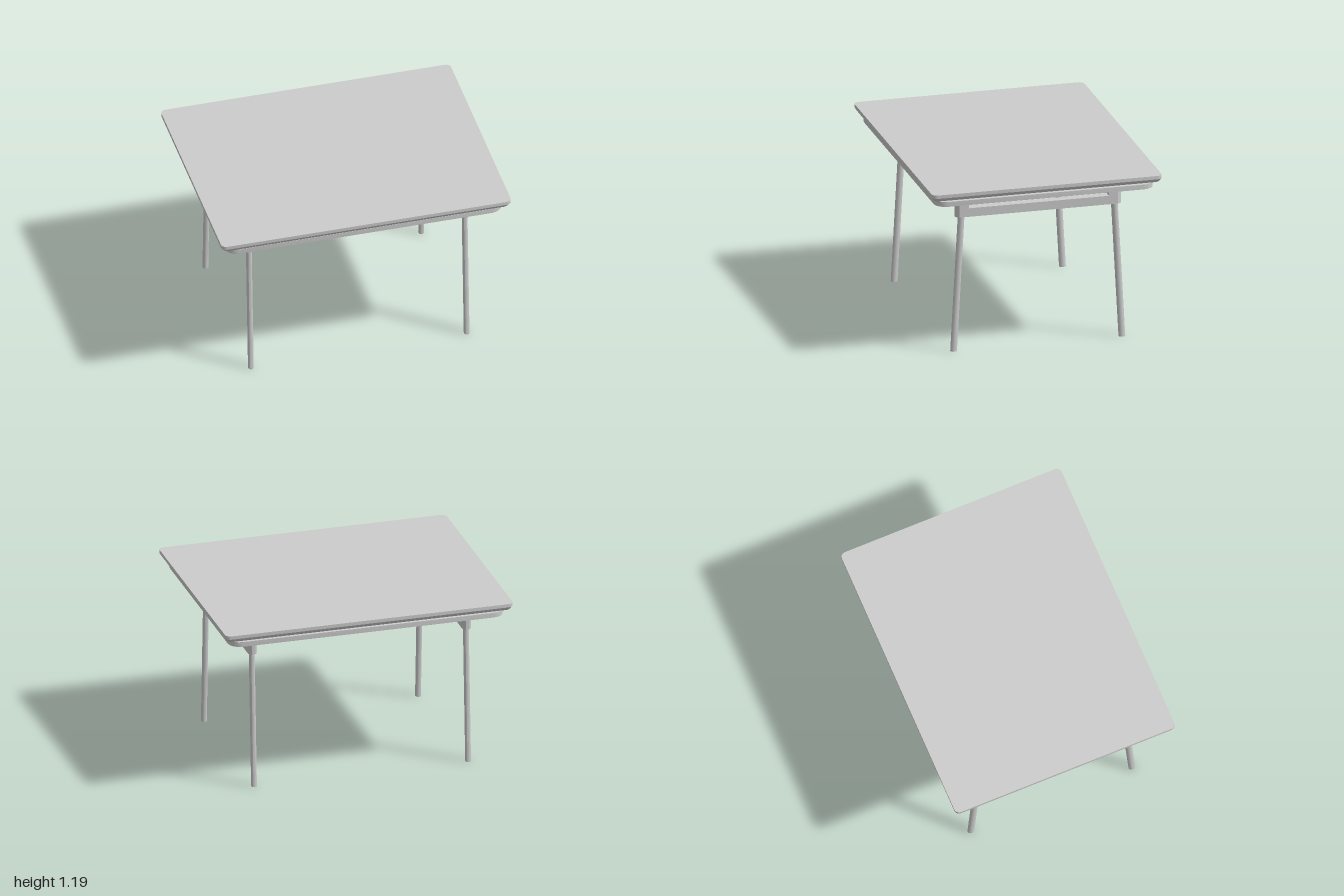
import * as THREE from 'three';
import { toCreasedNormals } from 'three/addons/utils/BufferGeometryUtils.js';

const material = new THREE.MeshStandardMaterial({ color: 0xcccccc });

function add(parent, name, geometry) {
  const mesh = new THREE.Mesh(geometry, material);
  mesh.name = name;
  parent.add(mesh);
  return mesh;
}

// Rounded rectangle in the xz plane, half sizes hx and hz, corner radius r
function outline([hx, hz, r, y], steps = 4) {
  const points = [];
  for (let corner = 0; corner < 4; corner++) {
    const sx = corner === 0 || corner === 3 ? 1 : -1;
    const sz = corner < 2 ? 1 : -1;
    for (let i = 0; i <= steps; i++) {
      const a = (corner + i / steps) * Math.PI / 2;
      points.push([sx * (hx - r) + r * Math.cos(a), y, sz * (hz - r) + r * Math.sin(a)]);
    }
  }
  return points;
}

// Skin a chain of rounded rectangles and cap both ends
function loft(sections) {
  const rings = sections.map((s) => outline(s));
  const n = rings[0].length;
  const positions = [];
  const tri = (...corners) => corners.forEach((c) => positions.push(...c));
  const first = rings[0], last = rings[rings.length - 1];
  for (let i = 0; i < n; i++) {
    const j = (i + 1) % n;
    for (let k = 0; k < rings.length - 1; k++) {
      const a = rings[k], b = rings[k + 1];
      tri(a[i], b[i], b[j]);
      tri(a[i], b[j], a[j]);
    }
    tri([0, first[0][1], 0], first[i], first[j]);
    tri([0, last[0][1], 0], last[j], last[i]);
  }
  const geometry = new THREE.BufferGeometry();
  geometry.setAttribute('position', new THREE.Float32BufferAttribute(positions, 3));
  return toCreasedNormals(geometry, 0.5);
}

// Leg: upright cylinder sheared outwards, so both ends stay level
function legGeometry() {
  const height = 0.96;
  const geometry = new THREE.CylinderGeometry(0.0235, 0.0235, height, 12);
  geometry.scale(0.83, 1, 1).translate(0, height / 2, 0);
  const p = geometry.attributes.position;
  for (let i = 0; i < p.count; i++) p.setZ(i, p.getZ(i) + 0.582 - 0.055 * p.getY(i));
  geometry.computeVertexNormals();
  return toCreasedNormals(geometry, 0.8);
}

// Bracket post: chamfered on its outer end, extruded upwards
function postGeometry() {
  const plan = [[-0.03, 0.485], [0.03, 0.485], [0.03, 0.548], [0.012, 0.572], [-0.012, 0.572], [-0.03, 0.548]];
  const shape = new THREE.Shape(plan.map(([x, z]) => new THREE.Vector2(x, -z)));
  const geometry = new THREE.ExtrudeGeometry(shape, { depth: 0.15, bevelEnabled: false });
  return geometry.rotateX(-Math.PI / 2).translate(0, 0.945, 0);
}

export function createModel() {
  const table = new THREE.Group();
  table.name = 'table';

  // Top board, slightly tapered towards its underside
  add(table, 'tableTop', loft([
    [0.985, 0.78, 0.035, 1.147],
    [1, 0.795, 0.035, 1.17],
    [1, 0.795, 0.035, 1.194],
  ]));

  // Hollow apron with a sloping upper face
  add(table, 'apron', loft([
    [0.875, 0.675, 0.02, 1.127],
    [0.875, 0.675, 0.02, 1.092],
    [0.955, 0.755, 0.08, 1.092],
    [0.955, 0.755, 0.08, 1.126],
    [0.83, 0.63, 0.03, 1.14],
    [0.83, 0.63, 0.03, 1.149],
  ]));

  // Two end frames: cross beam, two posts and two splayed legs each
  const leg = legGeometry();
  const post = postGeometry();
  for (const side of [1, -1]) {
    const frame = new THREE.Group();
    frame.name = side > 0 ? 'leftFrame' : 'rightFrame';
    frame.position.x = side * 0.745;
    table.add(frame);
    add(frame, 'crossBeam', new THREE.BoxGeometry(0.06, 0.06, 0.97).translate(0, 0.975, 0));
    for (const end of ['front', 'back']) {
      const turn = end === 'front' ? 0 : Math.PI;
      add(frame, end + 'Post', post).rotation.y = turn;
      add(frame, end + 'Leg', leg).rotation.y = turn;
    }
  }
  return table;
}
